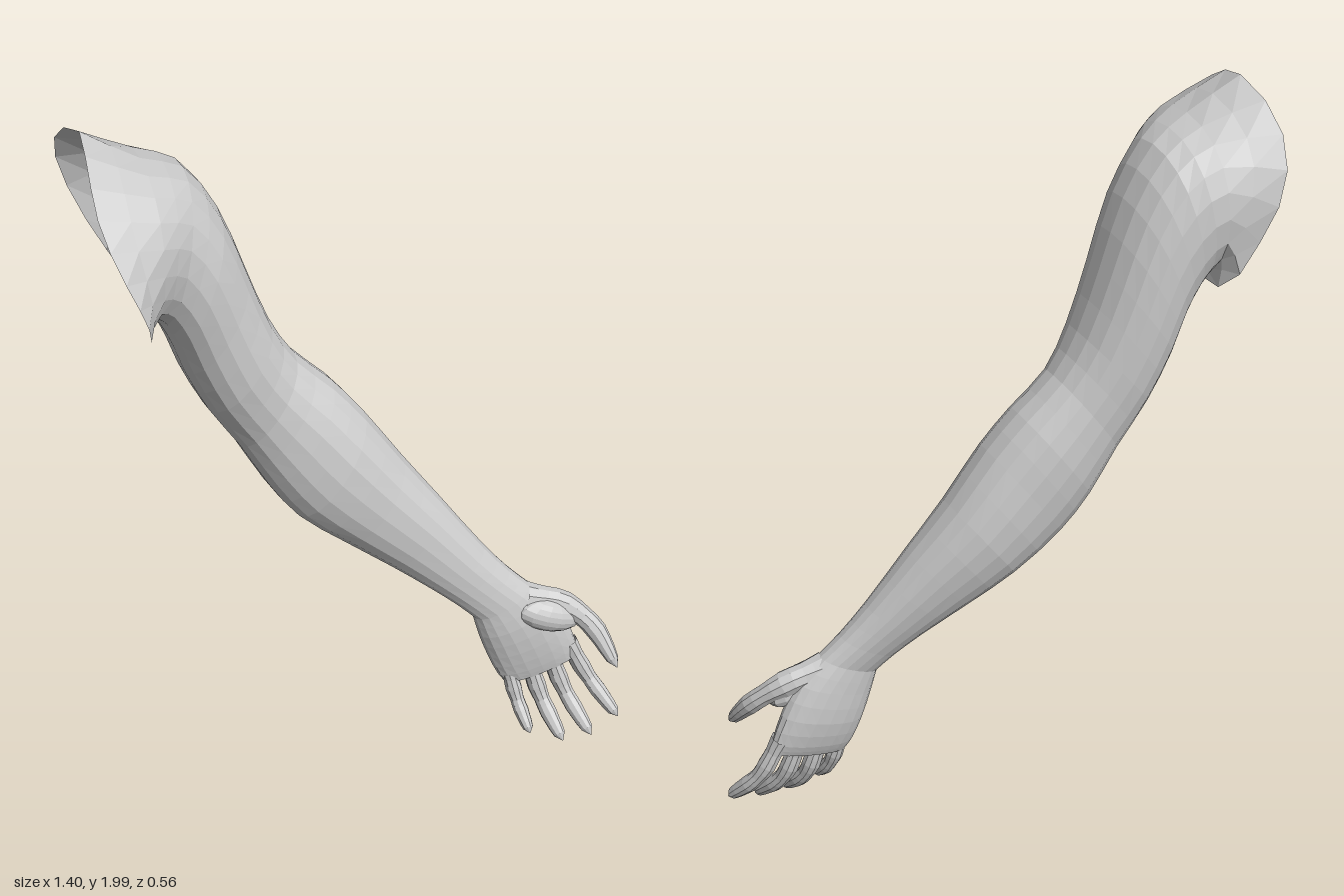
import * as THREE from 'three';

const SIDES = 20;
const material = new THREE.MeshStandardMaterial({ color: 0xcccccc, flatShading: true, side: THREE.DoubleSide });

// Skin a list of rings (equal point counts); optionally close the far end with a pole
function skin(rings, tip) {
  const n = rings[0].length, index = [];
  const points = rings.flat();
  for (let i = 0; i < rings.length - 1; i++) {
    for (let j = 0; j < n; j++) {
      const k = (j + 1) % n, a = i * n, b = a + n;
      index.push(a + j, a + k, b + j, a + k, b + k, b + j);
    }
  }
  if (tip) {
    const last = (rings.length - 1) * n;
    points.push(tip);
    for (let j = 0; j < n; j++) index.push(last + j, last + (j + 1) % n, points.length - 1);
  }
  const geometry = new THREE.BufferGeometry().setFromPoints(points);
  geometry.setIndex(index);
  geometry.computeVertexNormals();
  return geometry;
}

// Oval ring between an upper and a lower edge point, with front and back depth
function ovalRing([ux, uy, lx, ly, zf, zb]) {
  return Array.from({ length: SIDES }, (_, j) => {
    const a = (j / SIDES) * Math.PI * 2;
    const c = Math.sign(Math.cos(a)) * Math.abs(Math.cos(a)) ** 0.92;
    const s = Math.sign(Math.sin(a)) * Math.abs(Math.sin(a)) ** 0.92;
    return new THREE.Vector3(
      (ux + lx) / 2 + c * (ux - lx) / 2,
      (uy + ly) / 2 + c * (uy - ly) / 2,
      (zf + zb) / 2 + s * (zf - zb) / 2);
  });
}

// Smooth extra rings between the given ones
function refine(rings, steps) {
  const columns = rings[0].map((_, j) => new THREE.CatmullRomCurve3(rings.map(r => r[j])));
  const count = (rings.length - 1) * steps;
  return Array.from({ length: count + 1 }, (_, i) => columns.map(c => c.getPoint(i / count)));
}

// Rounded, tapered digit along a path; flat scales its thickness
function digit(path, r0, r1, name) {
  const curve = new THREE.CatmullRomCurve3(path.map(p => new THREE.Vector3(...p)));
  const count = 12, n = 10;
  const frames = curve.computeFrenetFrames(count);
  const rings = [];
  for (let i = 0; i < count; i++) {
    const t = i / count;
    const round = t > 0.85 ? 0.8 : 1;
    const knuckle = 1 + 0.06 * Math.cos(t * Math.PI * 6);
    const r = (r0 + (r1 - r0) * t) * round * knuckle;
    const p = curve.getPointAt(t);
    rings.push(Array.from({ length: n }, (_, j) => {
      const a = (j / n) * Math.PI * 2;
      return p.clone()
        .addScaledVector(frames.normals[i], r * Math.cos(a))
        .addScaledVector(frames.binormals[i], r * Math.sin(a));
    }));
  }
  const mesh = new THREE.Mesh(skin(rings, curve.getPointAt(1)), material);
  mesh.name = name;
  return mesh;
}

export function createModel() {
  const group = new THREE.Group();
  group.name = 'arm';

  // Open shoulder rim, from the top round the front to the armpit and back
  const rimCurve = new THREE.CatmullRomCurve3([
    [-0.68, 2.0, -0.06], [-0.695, 1.95, 0.08], [-0.695, 1.86, 0.18], [-0.66, 1.75, 0.26],
    [-0.62, 1.65, 0.285], [-0.6, 1.565, 0.24], [-0.57, 1.54, 0.1], [-0.54, 1.5, -0.08],
    [-0.56, 1.5, -0.22], [-0.63, 1.63, -0.265], [-0.69, 1.79, -0.28], [-0.705, 1.92, -0.21],
  ].map(p => new THREE.Vector3(...p)), true);
  const rim = Array.from({ length: SIDES }, (_, j) => rimCurve.getPoint(j / SIDES));

  // Shoulder and upper arm down to the wrist: upper x, y, lower x, y, front z, back z
  const armSections = [
    [-0.54, 1.915, -0.55, 1.5, 0.185, -0.255],
    [-0.43, 1.86, -0.52, 1.45, 0.125, -0.24],
    [-0.345, 1.73, -0.49, 1.38, 0.11, -0.23],
    [-0.28, 1.55, -0.46, 1.29, 0.095, -0.22],
    [-0.22, 1.38, -0.4, 1.16, 0.085, -0.2],
    [-0.155, 1.265, -0.32, 1.03, 0.07, -0.175],
    [-0.06, 1.17, -0.25, 0.9, 0.09, -0.165],
    [0.02, 1.07, -0.175, 0.795, 0.11, -0.145],
    [0.12, 0.92, -0.05, 0.69, 0.12, -0.115],
    [0.22, 0.78, 0.07, 0.6, 0.13, -0.06],
    [0.33, 0.625, 0.18, 0.515, 0.143, 0],
    [0.4, 0.54, 0.25, 0.455, 0.152, 0.035],
    [0.455, 0.485, 0.295, 0.41, 0.16, 0.055],
  ];
  const arm = new THREE.Mesh(skin(refine([rim, ...armSections.map(ovalRing)], 2)), material);
  arm.name = 'shoulderAndArm';
  group.add(arm);

  // Palm, closed at the knuckles
  const palmSections = [
    [0.455, 0.485, 0.295, 0.41, 0.16, 0.055],
    [0.52, 0.42, 0.312, 0.345, 0.168, 0.055],
    [0.57, 0.33, 0.34, 0.265, 0.165, 0.058],
    [0.6, 0.25, 0.37, 0.195, 0.155, 0.075],
    [0.605, 0.215, 0.39, 0.165, 0.148, 0.09],
  ];
  const palm = new THREE.Mesh(
    skin(refine(palmSections.map(ovalRing), 2), new THREE.Vector3(0.495, 0.17, 0.12)), material);
  palm.name = 'palm';
  group.add(palm);

  // Fingers curling gently forward
  const fingers = [
    ['littleFinger', [0.4, 0.21, 0.115], [0.42, 0.11, 0.145], [0.436, 0.035, 0.21], 0.024],
    ['ringFinger', [0.46, 0.22, 0.115], [0.492, 0.1, 0.145], [0.524, 0.006, 0.238], 0.027],
    ['middleFinger', [0.52, 0.235, 0.115], [0.56, 0.11, 0.145], [0.608, 0.006, 0.24], 0.027],
    ['indexFinger', [0.575, 0.255, 0.115], [0.63, 0.14, 0.14], [0.695, 0.035, 0.22], 0.027],
  ];
  for (const [name, base, middle, tip, r] of fingers) {
    group.add(digit([base, middle, tip], r, r * 0.75, name));
  }

  // Thumb and the pad at its root
  group.add(digit([[0.44, 0.445, 0.115], [0.54, 0.415, 0.135], [0.615, 0.355, 0.18], [0.665, 0.25, 0.262]],
    0.042, 0.02, 'thumb'));
  const pad = new THREE.Mesh(new THREE.SphereGeometry(1, 14, 10), material);
  pad.name = 'thumbPad';
  pad.scale.set(0.1, 0.048, 0.045);
  pad.position.set(0.5, 0.395, 0.148);
  pad.rotation.z = -0.4;
  group.add(pad);

  return group;
}
